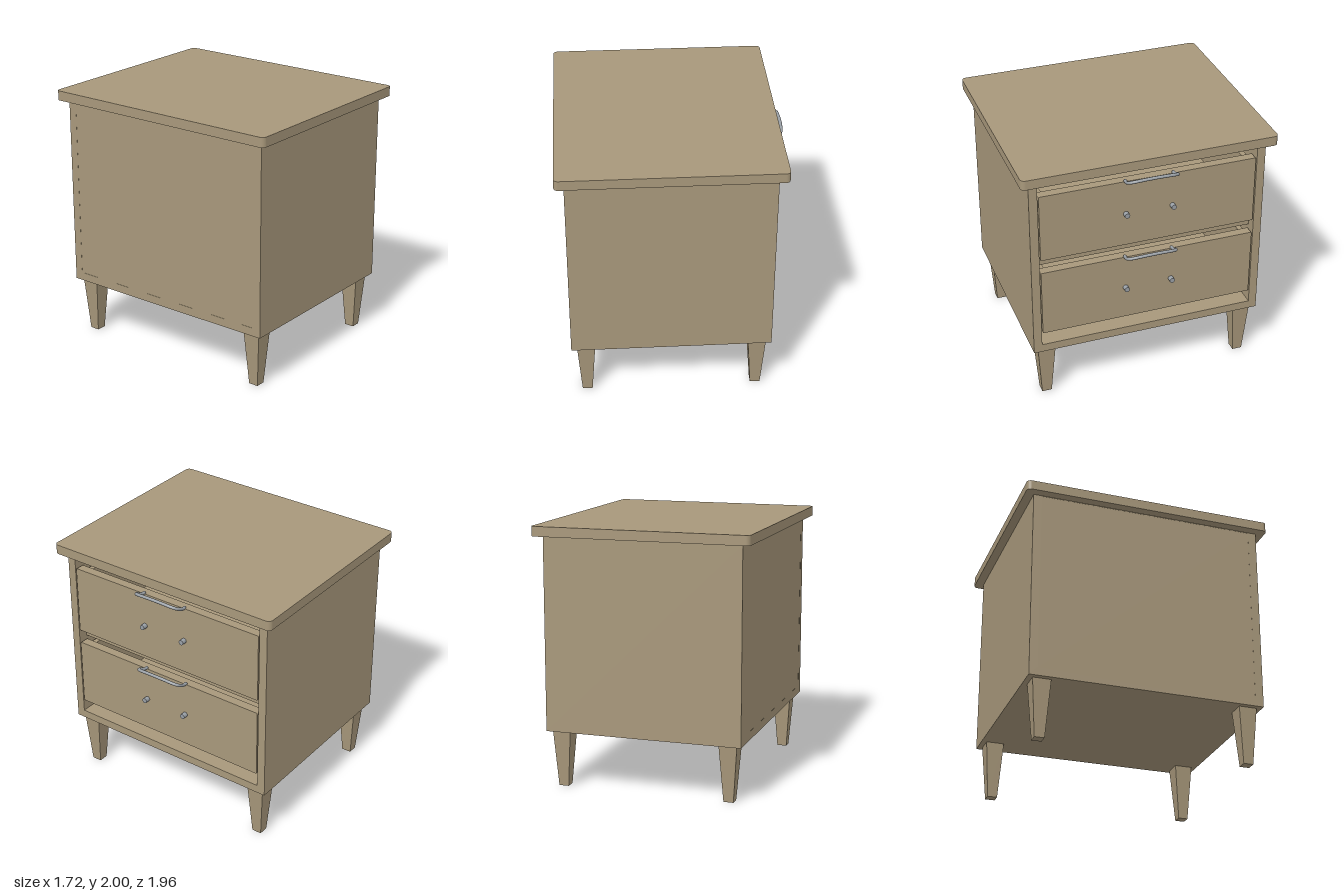
import * as THREE from 'three';

const wood = new THREE.MeshStandardMaterial({ color: 0xa8987b });
const metal = new THREE.MeshStandardMaterial({ color: 0x9aa0a6 });

function add(parent, name, geometry, material, x = 0, y = 0, z = 0) {
  const mesh = new THREE.Mesh(geometry, material);
  mesh.name = name;
  mesh.position.set(x, y, z);
  parent.add(mesh);
  return mesh;
}

// Box given by its limits on each axis
function box(parent, name, [x0, x1], [y0, y1], [z0, z1]) {
  return add(parent, name, new THREE.BoxGeometry(x1 - x0, y1 - y0, z1 - z0), wood,
    (x0 + x1) / 2, (y0 + y1) / 2, (z0 + z1) / 2);
}

// Rectangle with rounded corners, centred on the origin
function roundedRect(w, h, r) {
  const s = new THREE.Shape();
  const a = w / 2 - r, b = h / 2 - r;
  s.absarc(a, b, r, 0, Math.PI / 2);
  s.absarc(-a, b, r, Math.PI / 2, Math.PI);
  s.absarc(-a, -b, r, Math.PI, Math.PI * 1.5);
  s.absarc(a, -b, r, Math.PI * 1.5, Math.PI * 2);
  s.closePath();
  return s;
}

// Bow handle: leaves the drawer front, then sweeps outward and up
function handleGeometry() {
  const half = [[0.72, 0, 0.185], [0.755, 0.004, 0.187], [0.79, 0.02, 0.19], [0.82, 0.036, 0.182], [0.838, 0.047, 0.15], [0.845, 0.054, 0.08]];
  const points = half.map(([x, y, z]) => new THREE.Vector3(x, y, z));
  points.push(new THREE.Vector3(0.847, 0.056, 0));
  half.reverse().forEach(([x, y, z]) => points.push(new THREE.Vector3(x, y, -z)));
  return new THREE.TubeGeometry(new THREE.CatmullRomCurve3(points), 64, 0.012, 12);
}

export function createModel() {
  const model = new THREE.Group();
  model.name = 'bedsideCabinet';

  // Top board with rounded corners
  const topGeo = new THREE.ExtrudeGeometry(roundedRect(1.665, 1.955, 0.035), { depth: 0.075, bevelEnabled: false, curveSegments: 8 });
  topGeo.rotateX(-Math.PI / 2);
  add(model, 'topBoard', topGeo, wood, -0.032, 1.925, 0);

  // Carcass: a frame open toward +x, closed at the back
  const frame = new THREE.Shape([[-0.91, 0.44], [0.91, 0.44], [0.91, 1.925], [-0.91, 1.925]].map(p => new THREE.Vector2(...p)));
  frame.holes.push(new THREE.Path([[-0.845, 0.505], [-0.845, 1.92], [0.845, 1.92], [0.845, 0.505]].map(p => new THREE.Vector2(...p))));
  const frameGeo = new THREE.ExtrudeGeometry(frame, { depth: 1.525, bevelEnabled: false });
  frameGeo.rotateY(Math.PI / 2);
  add(model, 'carcass', frameGeo, wood, -0.795, 0, 0);
  box(model, 'backPanel', [-0.794, -0.73], [0.5, 1.922], [-0.846, 0.846]);

  // Recessed rails above each drawer
  for (const y of [1.175, 1.83]) box(model, 'rail', [0.58, 0.65], [y, y + 0.095], [-0.845, 0.845]);

  // Drawers
  for (const y of [0.61, 1.263]) {
    const drawer = new THREE.Group();
    drawer.name = 'drawer';
    drawer.position.y = y;
    model.add(drawer);

    const frontGeo = new THREE.ExtrudeGeometry(roundedRect(1.672, 0.542, 0.008), { depth: 0.07, bevelEnabled: false, curveSegments: 4 });
    frontGeo.rotateY(Math.PI / 2);
    add(drawer, 'drawerFront', frontGeo, wood, 0.66, 0.271, 0);

    // Drawer box behind the front
    box(drawer, 'drawerBottom', [-0.68, 0.66], [0.03, 0.06], [-0.81, 0.81]);
    box(drawer, 'drawerBack', [-0.7, -0.66], [0.03, 0.5], [-0.81, 0.81]);
    for (const s of [-1, 1]) {
      box(drawer, 'drawerSide', [-0.68, 0.66], [0.03, 0.5], [s * 0.8 - 0.02, s * 0.8 + 0.02]);
      const knob = new THREE.CylinderGeometry(0.02, 0.02, 0.05, 16);
      knob.rotateZ(Math.PI / 2);
      add(drawer, 'knob', knob, metal, 0.744, 0.27, s * 0.181);
    }
    add(drawer, 'handle', handleGeometry(), metal, 0, 0.546, 0);
  }

  // Four tapered square legs
  for (const x of [-0.683, 0.624]) for (const z of [-0.8, 0.8]) {
    const leg = new THREE.CylinderGeometry(0.07 * Math.SQRT2, 0.038 * Math.SQRT2, 0.44, 4).toNonIndexed();
    leg.rotateY(Math.PI / 4);
    leg.computeVertexNormals();
    add(model, 'leg', leg, wood, x, 0.22, z);
  }
  return model;
}
